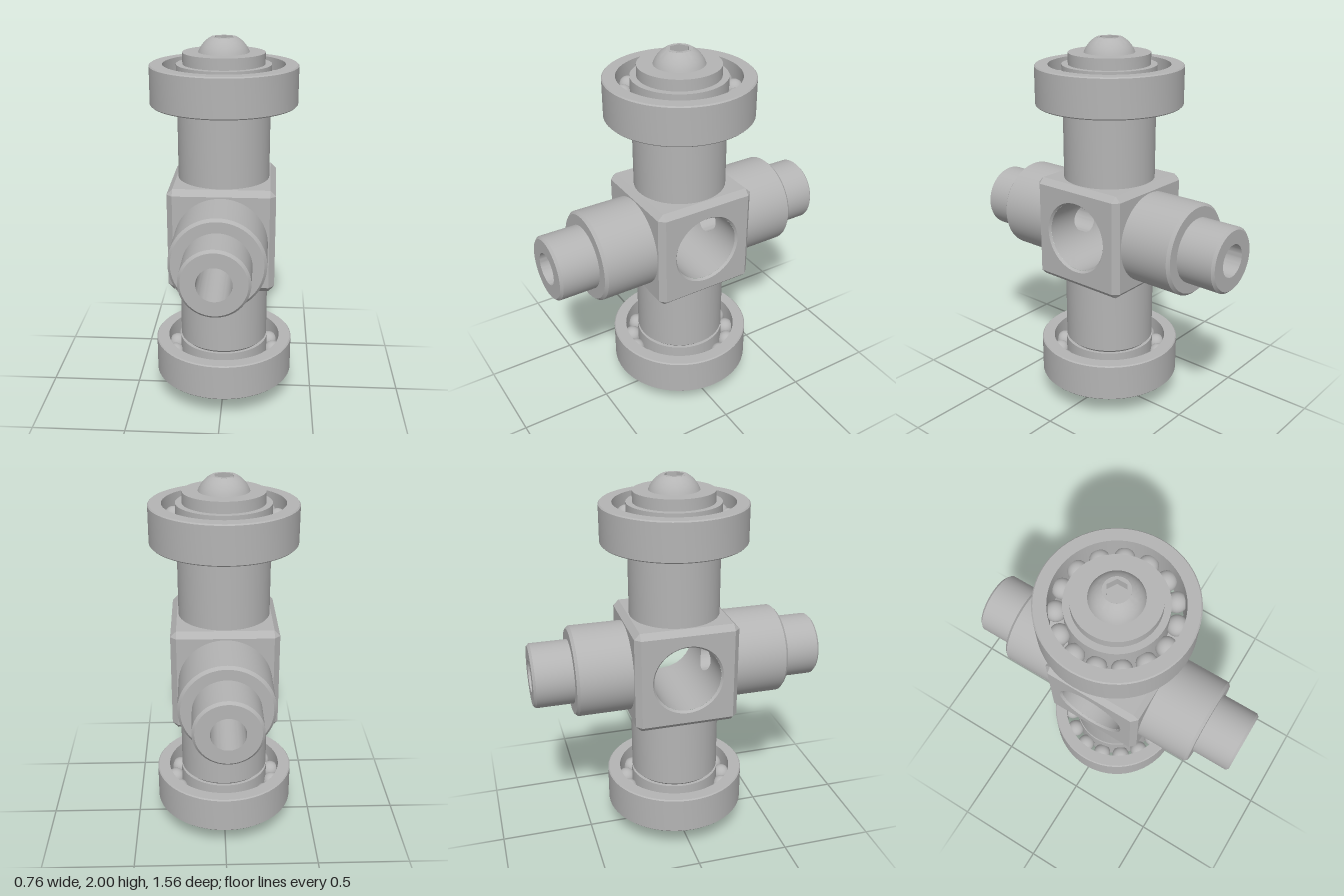
import * as THREE from 'three';
import { toCreasedNormals, mergeGeometries } from 'three/addons/utils/BufferGeometryUtils.js';

const steel = new THREE.MeshStandardMaterial({ color: 0xb4b4b4 });
steel.name = 'steel grey';

const H = 0.277, I = 0.247;          // block half size, and half size inside the chamfers
const BORE = 0.18, PIN = 0.085;      // radii of the cross bore and the arm bores
const SEG = 64;

function add(parent, name, geometry) {
  const mesh = new THREE.Mesh(geometry, steel);
  mesh.name = name;
  parent.add(mesh);
  return mesh;
}

// Turned part about y, with sharp edges kept
function turned(points, rule) {
  const g = new THREE.LatheGeometry(points.map(([r, y]) => new THREE.Vector2(r, y)), SEG);
  if (rule) rule(g.attributes.position);
  return toCreasedNormals(g, 0.5);
}

function circlePath(r, n = SEG, turn = 0) {
  const pts = [];
  for (let k = 0; k < n; k++) {
    const a = turn - k / n * Math.PI * 2;
    pts.push(new THREE.Vector2(r * Math.cos(a), r * Math.sin(a)));
  }
  return new THREE.Path(pts);
}

// Square face of the block with an optional round hole
function panel(holeRadius) {
  const s = new THREE.Shape([[-I, -I], [I, -I], [I, I], [-I, I]].map(p => new THREE.Vector2(...p)));
  if (holeRadius) s.holes.push(circlePath(holeRadius));
  return new THREE.ShapeGeometry(s).translate(0, 0, H);
}

// Chamfer strips and corner triangles of the block
function chamfers() {
  const out = [];
  const tri = (a, b, c) => {
    const n = b.clone().sub(a).cross(c.clone().sub(a));
    const order = n.dot(a) > 0 ? [a, b, c] : [a, c, b];
    order.forEach(p => out.push(p.x, p.y, p.z));
  };
  const point = (...pairs) => {
    const p = new THREE.Vector3();
    pairs.forEach(([axis, value]) => p.setComponent(axis, value));
    return p;
  };
  for (const s of [-1, 1]) for (const t of [-1, 1]) {
    for (let a = 0; a < 3; a++) {
      const b = (a + 1) % 3, c = (a + 2) % 3;
      const p = e => point([a, e * I], [b, s * H], [c, t * I]);
      const q = e => point([a, e * I], [b, s * I], [c, t * H]);
      tri(p(-1), p(1), q(1));
      tri(p(-1), q(1), q(-1));
    }
    for (const u of [-1, 1]) {
      tri(point([0, s * H], [1, t * I], [2, u * I]),
        point([0, s * I], [1, t * H], [2, u * I]),
        point([0, s * I], [1, t * I], [2, u * H]));
    }
  }
  const g = new THREE.BufferGeometry();
  g.setAttribute('position', new THREE.Float32BufferAttribute(out, 3));
  g.computeVertexNormals();
  return g;
}

// Half of the cross bore wall, lofted from the round arm hole to the patch border
function boreWall() {
  const pos = [], nor = [], idx = [], rows = 14, L = 0.265;
  for (let v = 0; v <= rows; v++) for (let u = 0; u <= SEG; u++) {
    const t = u / SEG * Math.PI * 2, c = Math.cos(t), s = Math.sin(t);
    const m = Math.max(Math.abs(c), Math.abs(s)), k = v / rows;
    const x = THREE.MathUtils.lerp(PIN * c, L * c / m, k);
    const a = THREE.MathUtils.lerp(Math.asin(PIN * s / BORE), Math.PI / 2 * s / m, k);
    pos.push(x, BORE * Math.sin(a), BORE * Math.cos(a));
    nor.push(0, -Math.sin(a), -Math.cos(a));
    if (v < rows && u < SEG) {
      const i = v * (SEG + 1) + u, j = i + SEG + 1;
      idx.push(i, i + 1, j, i + 1, j + 1, j);
    }
  }
  const g = new THREE.BufferGeometry();
  g.setAttribute('position', new THREE.Float32BufferAttribute(pos, 3));
  g.setAttribute('normal', new THREE.Float32BufferAttribute(nor, 3));
  g.setIndex(idx);
  return g;
}

function makeBlock() {
  const block = new THREE.Group();
  block.name = 'centreBlock';
  const q = Math.PI / 2;
  add(block, 'blockFaces', mergeGeometries([
    panel(BORE + 0.01).rotateY(q), panel(BORE + 0.01).rotateY(-q),
    panel(PIN), panel(PIN).rotateY(Math.PI),
    panel().rotateX(q), panel().rotateX(-q)]));
  add(block, 'blockChamfers', chamfers());
  for (const side of [0, Math.PI]) {
    add(block, 'boreWall', boreWall()).rotation.y = side;
    const lip = turned([[BORE + 0.01, H], [BORE, 0.265]]).rotateZ(-q);
    add(block, 'boreLip', lip).rotation.y = side;
  }
  return block;
}

// Stepped hollow arm, its inner end trimmed to the cross bore
function makeArm() {
  const g = turned([[0.24, 0.26], [0.24, 0.555], [0.226, 0.57], [0.17, 0.57], [0.17, 0.767],
    [0.157, 0.78], [PIN, 0.78], [PIN, 0.16]], p => {
    for (let i = 0; i < p.count; i++) {
      if (p.getY(i) < 0.2) p.setY(i, Math.sqrt(BORE ** 2 - p.getZ(i) ** 2));
    }
  });
  return g.rotateX(Math.PI / 2);
}

// Column with ball bearing, washer and socket screw
function makeColumn() {
  const g = new THREE.Group();
  const lo = 0.663, hi = 0.867, c = 0.006;
  add(g, 'column', turned([[0.24, 0.27], [0.24, 0.648], [0.225, lo], [0.2, lo]]));
  add(g, 'bearingOuterRing', turned([[0.312, lo], [0.38 - c, lo], [0.38, lo + c], [0.38, hi - c],
    [0.38 - c, hi], [0.312, hi], [0.312, lo]]));
  add(g, 'bearingInnerRing', turned([[0.18, lo], [0.243, lo], [0.243, hi], [0.18, hi]]));
  const ball = new THREE.SphereGeometry(0.05, 24, 16);
  for (let k = 0; k < 15; k++) {
    const a = k / 15 * Math.PI * 2;
    add(g, 'bearingBall', ball).position.set(0.278 * Math.cos(a), (lo + hi) / 2, 0.278 * Math.sin(a));
  }
  add(g, 'washer', turned([[0.21, hi], [0.21, 0.925], [0.1, 0.925]]));
  // Domed head, arc from the washer to the flat top
  const dome = [], cy = 0.878, R = 0.138;
  for (let k = 0; k <= 10; k++) {
    const a = THREE.MathUtils.lerp(Math.asin((0.925 - cy) / R), Math.acos(0.065 / R), k / 10);
    dome.push([R * Math.cos(a), cy + R * Math.sin(a)]);
  }
  add(g, 'screwHead', turned(dome));
  const top = new THREE.Shape(circlePath(0.065).getPoints().reverse());
  top.holes.push(circlePath(0.052, 6, Math.PI / 2));
  add(g, 'screwSocket', new THREE.ExtrudeGeometry(top, { depth: 0.05, bevelEnabled: false })
    .rotateX(-Math.PI / 2).translate(0, 0.95, 0));
  add(g, 'socketFloor', new THREE.CircleGeometry(0.056, 6, Math.PI / 2)
    .rotateX(-Math.PI / 2).translate(0, 0.951, 0));
  return g;
}

export function createModel() {
  const model = new THREE.Group();
  model.name = 'bearingCross';
  const body = new THREE.Group();
  body.name = 'crossBody';
  body.position.y = 1;
  model.add(body);
  body.add(makeBlock());
  add(body, 'frontArm', makeArm());
  add(body, 'backArm', makeArm()).rotation.y = Math.PI;
  const upper = makeColumn(), lower = makeColumn();
  upper.name = 'upperColumn';
  lower.name = 'lowerColumn';
  lower.rotation.x = Math.PI;
  body.add(upper, lower);
  return model;
}
